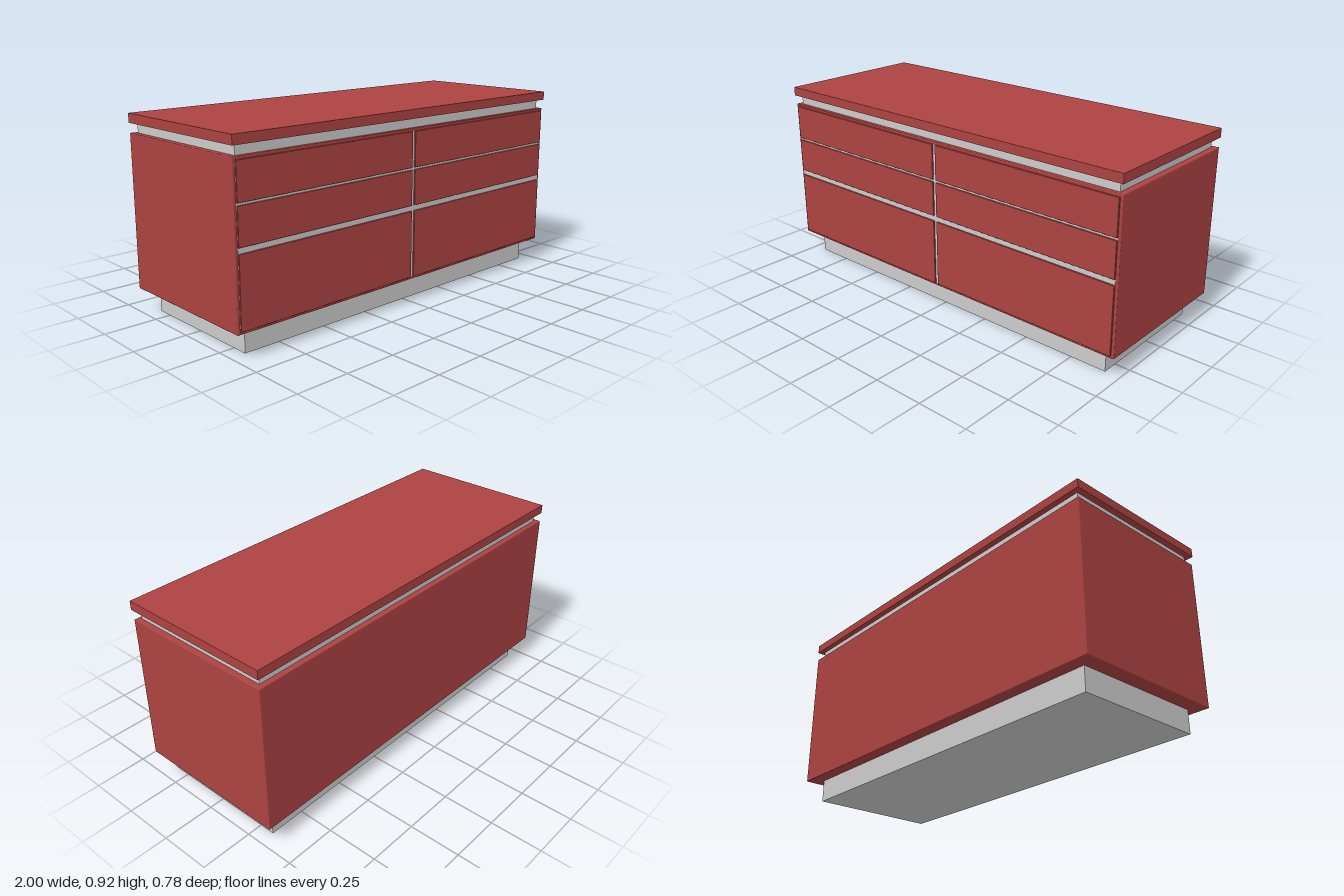
import * as THREE from 'three';
import { RoundedBoxGeometry } from 'three/addons/geometries/RoundedBoxGeometry.js';

export function createModel() {
  const group = new THREE.Group();
  group.name = 'drawerChest';
  const red = new THREE.MeshStandardMaterial({ color: 0xac4342 });
  const grey = new THREE.MeshStandardMaterial({ color: 0xcccccc });

  // Box given by its extents; an optional radius softens the edges
  function box(name, material, [x0, x1], [y0, y1], [z0, z1], radius = 0) {
    const size = [x1 - x0, y1 - y0, z1 - z0];
    const geometry = radius
      ? new RoundedBoxGeometry(...size, 2, radius)
      : new THREE.BoxGeometry(...size);
    const mesh = new THREE.Mesh(geometry, material);
    mesh.name = name;
    mesh.position.set((x0 + x1) / 2, (y0 + y1) / 2, (z0 + z1) / 2);
    group.add(mesh);
  }

  // Recessed plinth, carcass, shadow-gap riser and top slab
  box('plinth', grey, [-0.927, 0.927], [0, 0.114], [-0.325, 0.327]);
  box('carcass', red, [-0.998, 0.998], [0.112, 0.832], [-0.387, 0.381], 0.004);
  box('topRiser', grey, [-0.972, 0.972], [0.83, 0.878], [-0.362, 0.363]);
  box('top', red, [-1, 1], [0.877, 0.92], [-0.388, 0.389]);

  // Grey backing that shows in the gaps between the drawers
  box('drawerBacking', grey, [-0.985, 0.985], [0.126, 0.819], [0.37, 0.382]);

  // Two columns of drawer fronts, the bottom row deeper
  const rows = [['lower', 0.125, 0.447], ['middle', 0.472, 0.641], ['upper', 0.651, 0.82]];
  for (const [row, y0, y1] of rows) {
    box(`${row}DrawerLeft`, red, [0.008, 0.985], [y0, y1], [0.374, 0.389], 0.003);
    box(`${row}DrawerRight`, red, [-0.985, -0.008], [y0, y1], [0.374, 0.389], 0.003);
  }
  return group;
}
